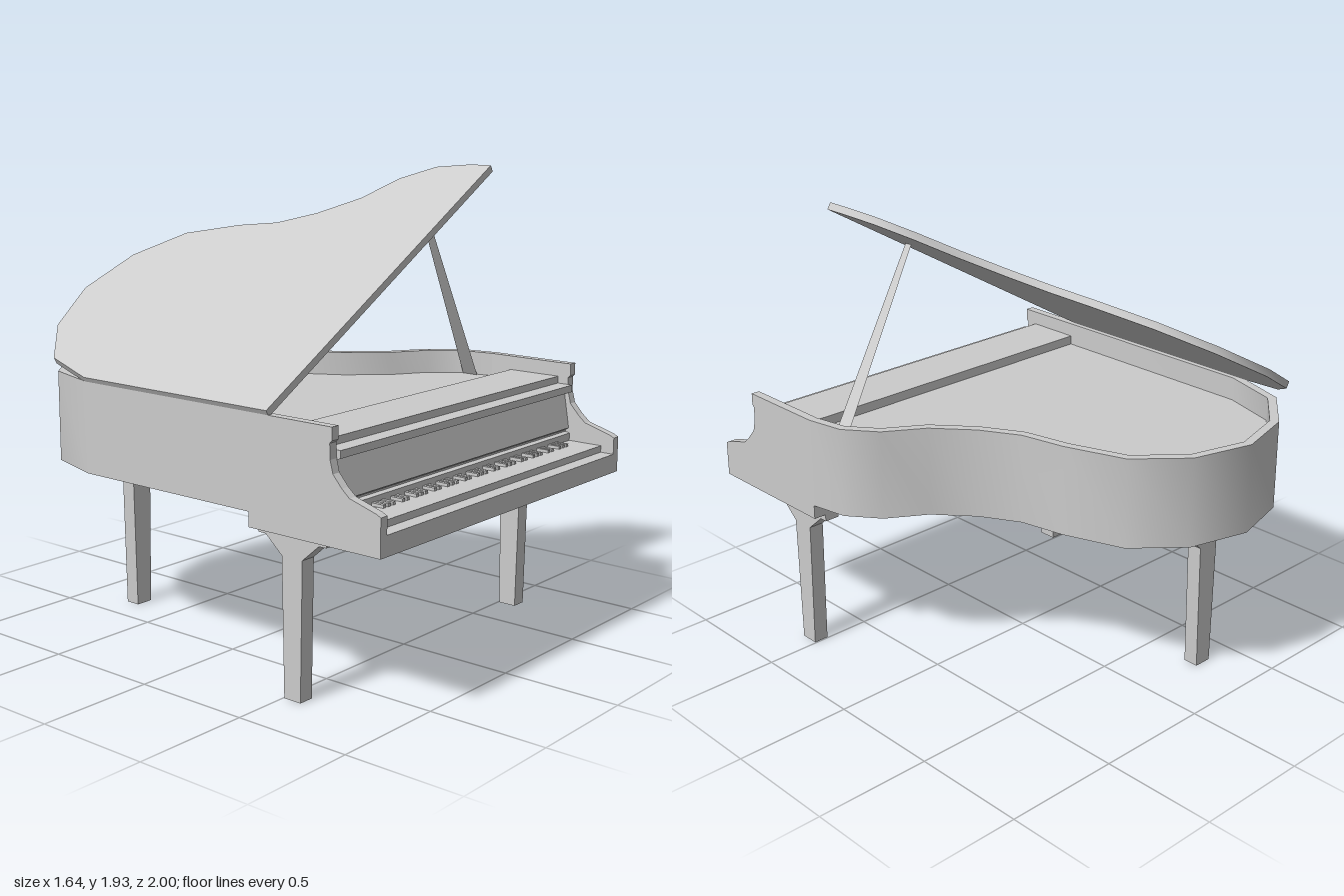
import * as THREE from 'three';
import { toCreasedNormals } from 'three/addons/utils/BufferGeometryUtils.js';

const material = new THREE.MeshStandardMaterial({ color: 0xcccccc });
const thinMaterial = new THREE.MeshStandardMaterial({ color: 0xcccccc, side: THREE.DoubleSide });

// Curved plan of the case as [x, z], from the right front round the tail to the left front
const plan = [
  [0.82, 0.38], [0.79, 0.22], [0.69, 0.09], [0.53, -0.01], [0.4, -0.16], [0.31, -0.32],
  [0.27, -0.51], [0.18, -0.76], [-0.01, -0.93], [-0.27, -1], [-0.53, -0.93],
  [-0.73, -0.76], [-0.81, -0.5], [-0.81, 0.38],
];
const WALL = 0.037;

// Plan moved inwards by the wall thickness
function inset(points, d) {
  const last = points.length - 1;
  return points.map(([x, z], i) => {
    if (i === 0) return [x - d, z];
    if (i === last) return [x + d, z];
    const normal = (a, b) => new THREE.Vector2(b[1] - a[1], a[0] - b[0]).normalize();
    const n1 = normal(points[i - 1], points[i]);
    const n2 = normal(points[i], points[i + 1]);
    const n = n1.clone().add(n2).normalize();
    const k = d / n.dot(n1);
    return [x + n.x * k, z + n.y * k];
  });
}

function mesh(name, geometry, mat = material) {
  const m = new THREE.Mesh(geometry, mat);
  m.name = name;
  return m;
}

function extrude(points, depth) {
  const shape = new THREE.Shape(points.map(([a, b]) => new THREE.Vector2(a, b)));
  return new THREE.ExtrudeGeometry(shape, { depth, bevelEnabled: false });
}

// Plan shape [x, z] raised from y0 to y1, smooth round the curve
function slab(points, y0, y1) {
  const g = extrude(points.map(([x, z]) => [x, -z]), y1 - y0);
  g.rotateX(-Math.PI / 2).translate(0, y0, 0);
  return toCreasedNormals(g, 0.65);
}

// Side profile [z, y] stretched from x0 to x1
function sideProfile(points, x0, x1) {
  return extrude(points, x1 - x0).rotateY(-Math.PI / 2).translate(x1, 0, 0);
}

function box(name, x0, x1, y0, y1, z0, z1) {
  const g = new THREE.BoxGeometry(x1 - x0, y1 - y0, z1 - z0);
  return mesh(name, g.translate((x0 + x1) / 2, (y0 + y1) / 2, (z0 + z1) / 2));
}

// Tapered leg with a winged bracket on top
function legProfile(top) {
  const half = [[0.04, 0], [0.05, 0.56], [0.13, 0.63], [0.165, 0.63], [0.165, top]];
  return [...half, ...half.map(([u, y]) => [-u, y]).reverse()];
}

export function createModel() {
  const model = new THREE.Group();
  model.name = 'grandPiano';
  const inner = inset(plan, WALL);
  const left = -0.81, right = 0.82;
  const inLeft = left + WALL, inRight = right - WALL;

  // Case: curved rim and soundboard
  model.add(mesh('rim', slab([...plan, ...inner.slice().reverse()], 0.72, 1.1)));
  model.add(mesh('soundboard', slab(inner, 0.72, 1.0)));

  // Cheeks beside the keyboard
  const cheek = [
    [0.38, 0.66], [1, 0.66], [1, 0.81], [0.98, 0.82], [0.86, 0.855], [0.825, 0.885],
    [0.785, 0.93], [0.772, 0.98], [0.77, 1.04], [0.78, 1.05], [0.78, 1.1], [0.38, 1.1],
  ];
  model.add(mesh('rightCheek', sideProfile(cheek, left, inLeft)));
  model.add(mesh('leftCheek', sideProfile(cheek, inRight, right)));

  // Keybed and key slip
  model.add(box('keybed', inLeft, inRight, 0.66, 0.74, 0.38, 1));

  // Top panel, lip and fallboard in one profile
  const front = [
    [0.38, 0.74], [0.785, 0.74], [0.785, 0.8], [0.765, 0.805], [0.765, 0.812], [0.78, 0.822],
    [0.755, 0.968], [0.79, 0.98], [0.79, 1.01], [0.72, 1.01], [0.72, 1.04],
    [0.48, 1.04], [0.48, 1.0], [0.38, 1.0],
  ];
  model.add(mesh('fallboardAndTopPanel', sideProfile(front, inLeft, inRight)));

  // Keyboard
  model.add(box('whiteKeys', inLeft, inRight, 0.74, 0.768, 0.785, 0.94));
  const blackKeys = new THREE.Group();
  blackKeys.name = 'blackKeys';
  const octave = 0.2;
  for (let o = 0; o < 7; o++) {
    for (const step of [1, 2, 4, 5, 6]) {
      const x = -0.695 + o * octave + (step * octave) / 7;
      blackKeys.add(box('blackKey', x - 0.008, x + 0.008, 0.766, 0.78, 0.785, 0.84));
    }
  }
  model.add(blackKeys);

  // Open lid, hinged along the straight side
  const lidPlan = [[0.82, 0.48], ...plan, [-0.81, 0.48]];
  const lid = mesh('lid', slab(lidPlan.map(([x, z]) => [x - left, z]), 0, 0.03));
  lid.position.set(-0.806, 1.093, 0);
  lid.rotation.z = Math.PI / 6;
  model.add(lid);

  // Flat prop stick holding the lid
  const prop = new THREE.BufferGeometry();
  prop.setAttribute('position', new THREE.Float32BufferAttribute([
    0.757, 1.0, 0.32, 0.757, 1.0, 0.245, 0.295, 1.73, 0.345, 0.295, 1.73, 0.38,
  ], 3));
  prop.setIndex([0, 1, 2, 0, 2, 3]);
  prop.computeVertexNormals();
  model.add(mesh('lidProp', prop, thinMaterial));

  // Legs: front brackets run front to back, the rear bracket runs sideways
  for (const [name, x] of [['frontRightLeg', -0.722], ['frontLeftLeg', 0.732]]) {
    const g = sideProfile(legProfile(0.66), x - 0.033, x + 0.033);
    model.add(mesh(name, g.translate(0, 0, 0.545)));
  }
  model.add(mesh('rearLeg', extrude(legProfile(0.72), 0.066).translate(-0.325, 0, -0.766)));

  return model;
}
